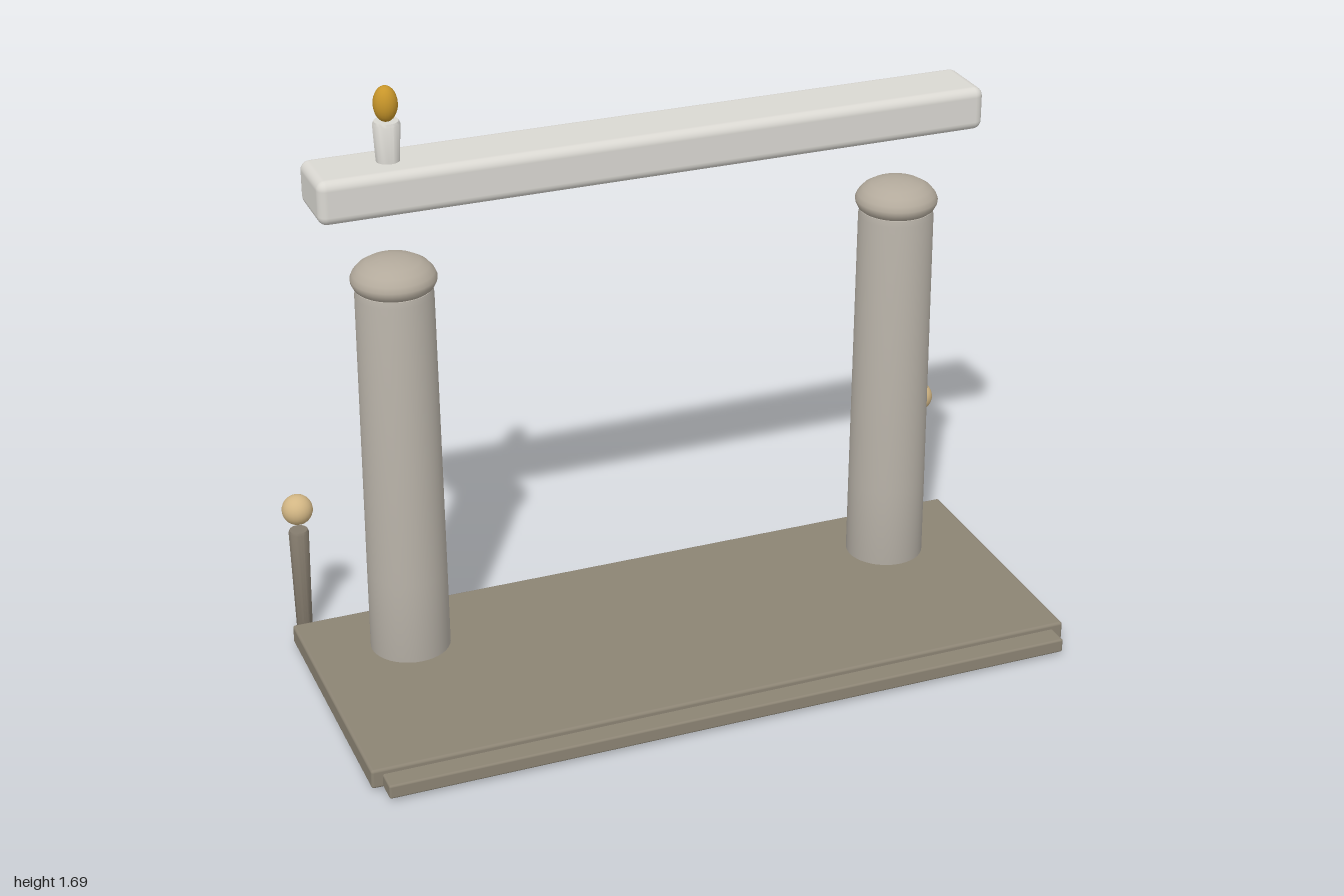
import * as THREE from 'three';
import { RoundedBoxGeometry } from 'three/addons/geometries/RoundedBoxGeometry.js';
import { toCreasedNormals } from 'three/addons/utils/BufferGeometryUtils.js';

const material = (color) => new THREE.MeshStandardMaterial({ color });

const slate = material(0x8c8474);
const shaft = material(0xb8b2a8);
const capStone = material(0xb3aa9c);
const pale = material(0xdad8d2);
const wood = material(0x857c6e);
const tan = material(0xd2b684);
const gold = material(0xc8962a);

export function createModel() {
  const group = new THREE.Group();

  const add = (name, geometry, mat, x, y, z) => {
    const mesh = new THREE.Mesh(geometry, mat);
    mesh.name = name;
    mesh.position.set(x, y, z);
    group.add(mesh);
    return mesh;
  };

  // Box given by its limits, with softly rounded edges
  const block = (name, [x0, x1], [y0, y1], [z0, z1], radius, mat) =>
    add(name, new RoundedBoxGeometry(x1 - x0, y1 - y0, z1 - z0, 3, radius), mat,
      (x0 + x1) / 2, (y0 + y1) / 2, (z0 + z1) / 2);

  // Turned part from [radius, height] pairs
  const turned = (points, segments = 40) => toCreasedNormals(
    new THREE.LatheGeometry(points.map(([r, y]) => new THREE.Vector2(r, y)), segments), 0.6);

  // Platform and its front step
  block('base', [-1, 1], [0.01, 0.065], [-0.37, 0.41], 0.008, slate);
  block('frontStep', [-0.97, 0.97], [0.01, 0.05], [0.36, 0.47], 0.006, slate);

  // Tapered columns with a bulging rim and shallow dome
  const columnGeometry = turned([
    [0, 0], [0.08, 0], [0.1, 0.015], [0.11, 0.06], [0.109, 0.3],
    [0.104, 1.12], [0.101, 1.138], [0.09, 1.145], [0, 1.145],
  ]);
  const capGeometry = turned([
    [0, 1.135], [0.095, 1.135], [0.106, 1.144], [0.113, 1.158], [0.114, 1.168],
    [0.108, 1.182], [0.094, 1.198], [0.072, 1.211], [0.038, 1.219], [0, 1.222],
  ]);

  // Small posts behind the platform, each with a ball floating above
  const postGeometry = turned([
    [0, 0.01], [0.019, 0.01], [0.022, 0.016], [0.028, 0.318], [0.025, 0.325], [0, 0.325],
  ], 24);
  const ballGeometry = new THREE.SphereGeometry(0.043, 24, 16);

  for (const [side, s] of [['left', 1], ['right', -1]]) {
    add(side + 'Column', columnGeometry, shaft, s * 0.72, 0, -0.163);
    add(side + 'Cap', capGeometry, capStone, s * 0.72, 0, -0.163);
    add(side + 'Post', postGeometry, wood, s * 0.95, 0, -0.435);
    add(side + 'Ball', ballGeometry, tan, s * 0.95, 0.388, -0.435);
  }

  // Lintel floating over the columns
  block('lintel', [-0.93, 0.93], [1.37, 1.49], [-0.26, -0.07], 0.025, pale);

  // Candle and flame on the lintel
  add('candle', turned([
    [0, 1.47], [0.03, 1.47], [0.036, 1.59], [0.032, 1.598], [0, 1.598],
  ], 24), pale, -0.72, 0, -0.165);
  add('flame', new THREE.SphereGeometry(0.032, 20, 14), gold, -0.72, 1.643, -0.165).scale.y = 1.5;

  return group;
}
